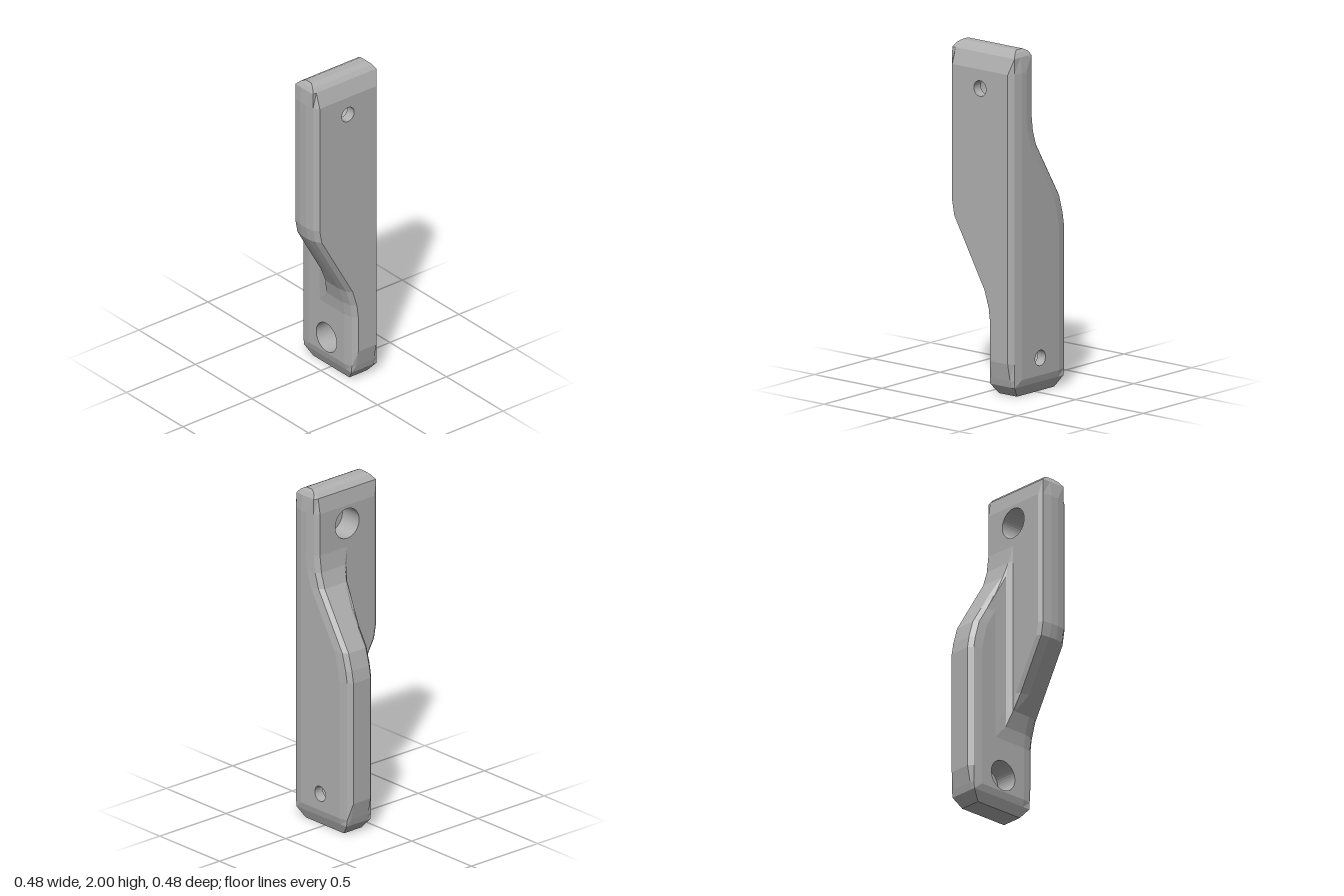
import * as THREE from 'three';

// Piecewise linear lookup in [y, value] pairs
function at(table, y) {
  if (y <= table[0][0]) return table[0][1];
  for (let i = 1; i < table.length; i++) {
    const [y0, v0] = table[i - 1], [y1, v1] = table[i];
    if (y <= y1) return v0 + (v1 - v0) * (y - y0) / (y1 - y0);
  }
  return table[table.length - 1][1];
}

// Edge of the lower wing (x) and front edge of the upper wing (z) by height
const WING_X = [[0.93, -0.24], [1.0, -0.228], [1.1, -0.2], [1.43, 0], [1.52, 0.028], [1.62, 0.04]];
const WING_Z = [[0.42, -0.04], [0.5, -0.03], [0.6, 0], [1.0, 0.225], [1.08, 0.24]];

// Chamfered ends: [y, xMin, xMax, zMin, zMax]
const ENDS = [
  [0, -0.16, 0.16, -0.205, -0.075], [0.06, -0.21, 0.21, -0.23, -0.05], [0.1, -0.22, 0.22, -0.24, -0.04],
  [1.96, 0.055, 0.21, -0.23, 0.23], [1.985, 0.08, 0.19, -0.215, 0.215], [2, 0.11, 0.16, -0.2, 0.2],
];
const LEVELS = [0, 0.06, 0.1, 0.2, 0.36, 0.42, 0.5, 0.6, 0.7, 0.8, 0.9, 0.93, 1, 1.08, 1.1, 1.2, 1.3,
  1.43, 1.52, 1.62, 1.64, 1.87, 1.96, 1.985, 2];

// L-shaped cross-section with bevelled corners and an inner fillet
function section(y) {
  const l = at(WING_X, y), f = at(WING_Z, y);
  const x9 = Math.max(-0.06, l), x8 = Math.min(l + 0.08, x9), x7 = Math.min(l + 0.025, x8);
  const z11 = Math.min(0, f);
  const pts = [
    [0.24, -0.205], [0.212, -0.23], [0.16, -0.24],
    [l + 0.08, -0.24], [l + 0.025, -0.23], [l, -0.205],
    [l, -0.075], [x7, -0.05], [x8, -0.04],
    [x9, -0.04], [Math.max(0.01, l), Math.min(-0.028, f)], [0.04, z11],
    [0.04, Math.max(f - 0.035, z11)], [0.055, Math.max(f - 0.01, z11)], [0.11, f],
    [0.16, f], [0.212, f - 0.01], [0.24, f - 0.035],
  ];
  const end = ENDS.find((e) => e[0] === y);
  return pts.map(([x, z]) => end
    ? new THREE.Vector3(THREE.MathUtils.clamp(x, end[1], end[2]), y, THREE.MathUtils.clamp(z, end[3], end[4]))
    : new THREE.Vector3(x, y, z));
}

// Flat panels around the holes replace these strips of the body
function isPanel(i, y) {
  if (y >= 0.1 && y < 0.36) return i === 2 || (i >= 8 && i < 15);
  if (y >= 1.64 && y < 1.87) return i === 17 || (i >= 5 && i < 12);
  return false;
}

function bodyGeometry() {
  const pos = [];
  const tri = (a, b, c) => {
    const n = b.clone().sub(a).cross(c.clone().sub(a));
    if (n.length() > 1e-9) for (const v of [a, b, c]) pos.push(v.x, v.y, v.z);
  };
  const rings = LEVELS.map(section);
  const n = rings[0].length;
  for (let r = 0; r < rings.length - 1; r++) {
    for (let i = 0; i < n; i++) {
      if (isPanel(i, LEVELS[r])) continue;
      const j = (i + 1) % n, lo = rings[r], hi = rings[r + 1];
      tri(lo[i], lo[j], hi[j]);
      tri(lo[i], hi[j], hi[i]);
    }
  }
  const bottom = rings[0], top = rings[rings.length - 1];
  for (let i = 1; i < n - 1; i++) {
    tri(bottom[0], bottom[i + 1], bottom[i]);
    tri(top[0], top[i], top[i + 1]);
  }
  const g = new THREE.BufferGeometry();
  g.setAttribute('position', new THREE.Float32BufferAttribute(pos, 3));
  g.computeVertexNormals();
  return g;
}

// Rectangle with a round hole, centred on the hole
function panelGeometry(halfWidth, down, up, radius) {
  const s = new THREE.Shape();
  s.moveTo(-halfWidth, -down).lineTo(halfWidth, -down).lineTo(halfWidth, up).lineTo(-halfWidth, up).closePath();
  s.holes.push(new THREE.Path().absarc(0, 0, radius, 0, Math.PI * 2, true));
  return new THREE.ShapeGeometry(s, 20);
}

// Inside of a counterbored hole, wide end at +y
function boreGeometry() {
  const profile = [[0.09, 0.2], [0.09, 0.06], [0.045, 0.06], [0.045, 0]].map(([x, y]) => new THREE.Vector2(x, y));
  const g = new THREE.LatheGeometry(profile, 40).toNonIndexed();
  g.computeVertexNormals();
  return g;
}

export function createModel() {
  const group = new THREE.Group();
  group.name = 'twistedBracket';
  const grey = new THREE.MeshStandardMaterial({ color: 0xb0b0b0 });
  grey.name = 'grey';
  const add = (name, geometry, x = 0, y = 0, z = 0) => {
    const m = new THREE.Mesh(geometry.translate(x, y, z), grey);
    m.name = name;
    group.add(m);
  };

  add('bracketBody', bodyGeometry());

  // Lower hole, wide at the front
  add('lowerFrontPanel', panelGeometry(0.16, 0.1, 0.16, 0.09), 0, 0.2, -0.04);
  add('lowerBackPanel', panelGeometry(0.16, 0.1, 0.16, 0.045).rotateY(Math.PI), 0, 0.2, -0.24);
  add('lowerBore', boreGeometry().rotateX(Math.PI / 2), 0, 0.2, -0.24);

  // Upper hole, wide on the inner side
  add('upperOuterPanel', panelGeometry(0.205, 0.12, 0.11, 0.045).rotateY(Math.PI / 2), 0.24, 1.76, 0);
  add('upperInnerPanel', panelGeometry(0.205, 0.12, 0.11, 0.09).rotateY(-Math.PI / 2), 0.04, 1.76, 0);
  add('upperBore', boreGeometry().rotateZ(Math.PI / 2), 0.24, 1.76, 0);

  return group;
}
